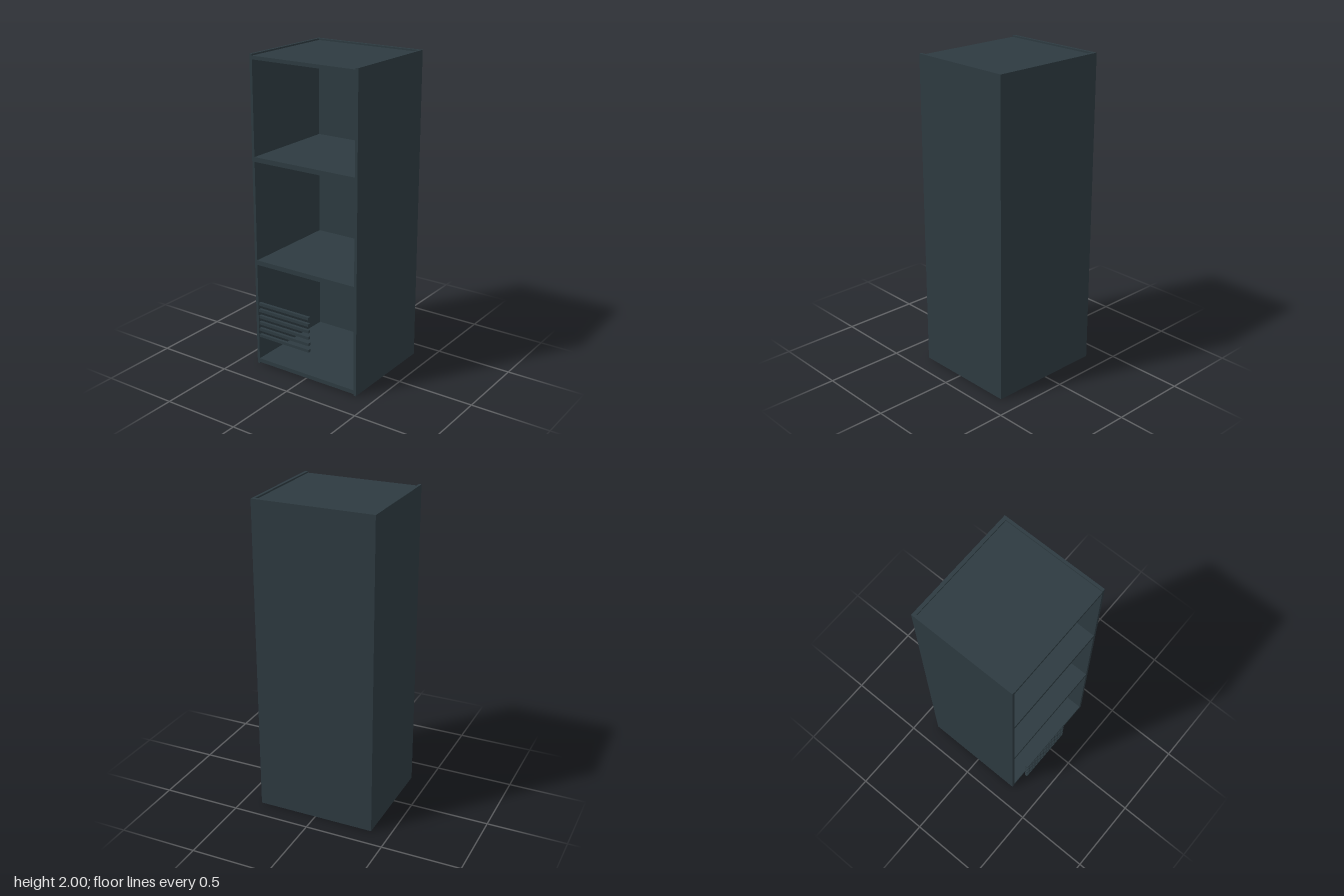
import * as THREE from 'three';

export function createModel() {
  const model = new THREE.Group();
  model.name = 'openCabinet';
  const slate = new THREE.MeshStandardMaterial({ color: 0x2d3a40 });
  slate.name = 'dark slate';

  // Box given by its lower and upper corners
  const box = (name, [x0, y0, z0], [x1, y1, z1], parent = model) => {
    const mesh = new THREE.Mesh(new THREE.BoxGeometry(x1 - x0, y1 - y0, z1 - z0), slate);
    mesh.position.set((x0 + x1) / 2, (y0 + y1) / 2, (z0 + z1) / 2);
    mesh.name = name;
    parent.add(mesh);
  };

  const W = 0.38, back = -0.375, front = 0.31, t = 0.018;
  const inner = W - t, innerBack = back + 0.022;

  // Full-height shell, open at the front
  box('leftSide', [inner, 0, back], [W, 2, front]);
  box('rightSide', [-W, 0, back], [-inner, 2, front]);
  box('backPanel', [-inner, 0, back], [inner, 2, innerBack]);

  // Boards between the sides; top and bottom sit slightly recessed
  const boards = [
    ['bottomBoard', 0.01, 0.036],
    ['lowerShelf', 0.684, 0.714],
    ['upperShelf', 1.35, 1.38],
    ['topBoard', 1.968, 1.99],
  ];
  for (const [name, y0, y1] of boards) box(name, [-inner, y0, innerBack], [inner, y1, front]);

  // Vent slats standing in front of the lowest bay
  const vent = new THREE.Group();
  vent.name = 'vent';
  model.add(vent);
  for (let i = 0; i < 6; i++) {
    const y = 0.24 + i * 0.043;
    box('ventSlat', [-0.305, y - 0.009, 0.355], [0.075, y + 0.009, 0.374], vent);
  }
  return model;
}
